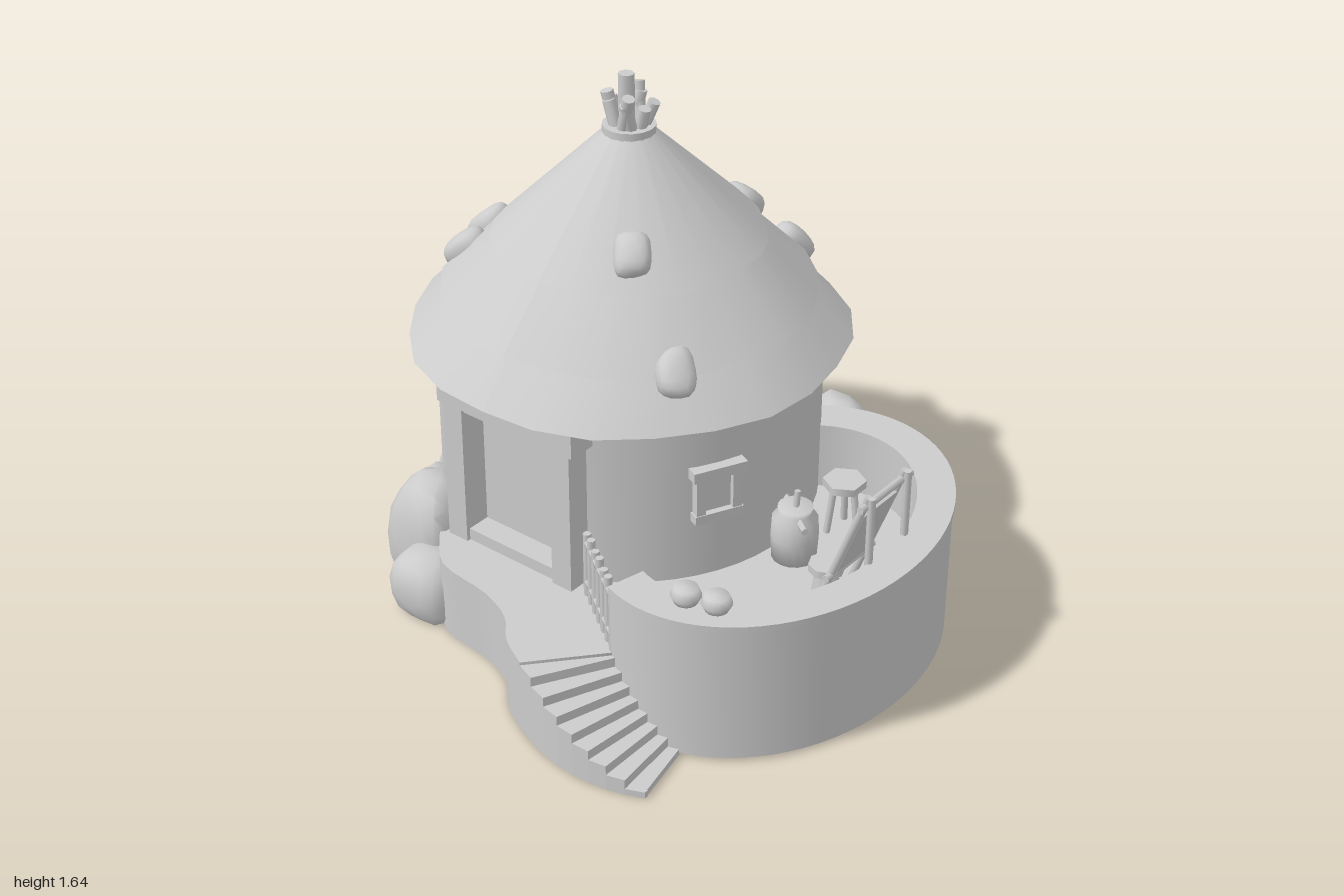
import * as THREE from 'three';
import { mergeVertices, toCreasedNormals } from 'three/addons/utils/BufferGeometryUtils.js';

const CX = -0.18, CZ = -0.095, WALL = 0.605, FLOOR = 0.25;
const V = (x, y, z) => new THREE.Vector3(x, y, z);
const rad = THREE.MathUtils.degToRad;

export function createModel() {
  const model = new THREE.Group();
  const mat = new THREE.MeshStandardMaterial({ color: 0xcccccc, side: THREE.DoubleSide });

  function add(name, geo, x = 0, y = 0, z = 0, parent = model) {
    const mesh = new THREE.Mesh(geo, mat);
    mesh.name = name;
    mesh.position.set(x, y, z);
    parent.add(mesh);
    return mesh;
  }
  const box = (name, w, h, d, x, y, z, parent) =>
    add(name, new THREE.BoxGeometry(w, h, d), x, y, z, parent);

  // Round or square bar between two points
  function bar(name, a, b, r, sides = 8) {
    const mesh = add(name, new THREE.CylinderGeometry(r, r, a.distanceTo(b), sides));
    mesh.position.copy(a).add(b).multiplyScalar(0.5);
    mesh.quaternion.setFromUnitVectors(V(0, 1, 0), b.clone().sub(a).normalize());
  }
  // Upright slab from a plan outline of [x, z] points
  function slab(name, pts, y0, y1) {
    const shape = new THREE.Shape(pts.map(([x, z]) => new THREE.Vector2(x, -z)));
    const geo = new THREE.ExtrudeGeometry(shape, { depth: y1 - y0, bevelEnabled: false });
    geo.rotateX(-Math.PI / 2);
    add(name, toCreasedNormals(geo, 0.5), 0, y0, 0);
  }
  // Irregular rounded stone; with a lift it is cut off at y = 0 and left open below
  function stone(seed, rx, ry, rz, lift = 0) {
    let geo = new THREE.IcosahedronGeometry(1, 2);
    geo.deleteAttribute('uv');
    geo.deleteAttribute('normal');
    geo = mergeVertices(geo);
    const p = geo.attributes.position;
    const bulge = v => Math.sign(v) * Math.abs(v) ** 0.78;
    for (let i = 0; i < p.count; i++) {
      const [x, y, z] = [p.getX(i), p.getY(i), p.getZ(i)];
      const k = 0.97 + 0.08 * Math.sin(2.6 * x + seed * 2.3) * Math.cos(2.7 * z - seed)
        + 0.04 * Math.sin(3 * y + seed * 1.7 + 2 * x);
      const h = bulge(y) * k * ry + lift;
      p.setXYZ(i, bulge(x) * k * rx, lift ? Math.max(h, 0) : h, bulge(z) * k * rz);
    }
    if (lift) {
      const ids = Array.from(geo.index.array), kept = [];
      for (let i = 0; i < ids.length; i += 3) {
        const tri = ids.slice(i, i + 3);
        if (tri.some(v => p.getY(v) > 0)) kept.push(...tri);
      }
      geo.setIndex(kept);
    }
    return toCreasedNormals(geo, 0.8);
  }

  // Round wall, left open behind the door; it reaches the ground only outside the terrace
  const wallArc = (y0, y1, from, to) => add('wall', new THREE.CylinderGeometry(
    WALL, WALL, y1 - y0, 48, 1, true, rad(from), rad(to - from)), CX, (y0 + y1) / 2, CZ);
  wallArc(FLOOR, 0.88, 26, 339);
  wallArc(0, FLOOR, 132, 340);

  // Door recessed in a heavy frame
  const door = new THREE.Group();
  door.name = 'door';
  model.add(door);
  box('doorPanel', 0.46, 0.64, 0.02, -0.155, 0.56, 0.42, door);
  for (const s of [-1, 1]) box('doorPost', 0.075, 0.49, 0.12, -0.155 + s * 0.211, 0.495, 0.463, door);
  box('doorSill', 0.36, 0.04, 0.1, -0.155, 0.27, 0.46, door);
  box('doorHead', 0.36, 0.03, 0.1, -0.155, 0.725, 0.46, door);
  box('doorLintel', 0.53, 0.08, 0.12, -0.155, 0.77, 0.47, door);

  // Framed windows, by angle around the wall
  for (const deg of [26, 221]) {
    const a = rad(deg), win = new THREE.Group();
    win.name = 'window';
    win.position.set(CX + Math.cos(a) * WALL, 0.545, CZ + Math.sin(a) * WALL);
    win.rotation.y = Math.PI / 2 - a;
    model.add(win);
    box('windowPane', 0.1, 0.14, 0.02, 0, 0, -0.003, win);
    for (const s of [-1, 1]) box('windowJamb', 0.03, 0.16, 0.05, s * 0.06, 0, 0, win);
    box('windowSill', 0.16, 0.03, 0.05, 0, -0.075, 0.003, win);
    box('windowLintel', 0.175, 0.035, 0.06, 0, 0.08, 0.003, win);
  }

  // Thatched roof in three overlapping skirts with uneven lower edges
  [[0.691, 0.81, 0.53, 0.98], [0.586, 0.945, 0.38, 1.16], [0.425, 1.13, 0.075, 1.47]]
    .forEach(([r0, y0, r1, y1], t) => {
      const geo = new THREE.CylinderGeometry(r1, r0, y1 - y0, 24, 1, true);
      const p = geo.attributes.position;
      for (let i = 0; i < p.count; i++) if (p.getY(i) < 0) {
        const a = Math.atan2(p.getZ(i), p.getX(i));
        const k = 1 + 0.012 * Math.sin(7 * a + t * 2);
        p.setXYZ(i, p.getX(i) * k, p.getY(i) + 0.006 * Math.sin(5 * a + t) * (t ? 1 : 0), p.getZ(i) * k);
      }
      geo.computeVertexNormals();
      add('roofSkirt', geo, CX, (y0 + y1) / 2, CZ);
    });

  // Bundle of sticks at the peak
  add('roofCollar', new THREE.CylinderGeometry(0.082, 0.082, 0.025, 16), CX, 1.475, CZ);
  bar('peakStick', V(CX - 0.01, 1.47, CZ), V(CX - 0.01, 1.645, CZ), 0.025);
  for (let i = 0; i < 9; i++) {
    const a = i * 0.698, b = a + 0.5 * Math.sin(i * 2.4), out = 0.06 + 0.008 * (i % 3);
    bar('peakStick', V(CX + Math.cos(a) * 0.04, 1.47, CZ + Math.sin(a) * 0.04),
      V(CX + Math.cos(b) * out, 1.55 + 0.012 * (i * 2 % 5), CZ + Math.sin(b) * out), 0.02);
  }

  // Stones resting on the roof
  [[-0.28, -0.6], [0.04, -0.65], [-0.07, -0.53], [-0.71, -0.04], [-0.66, 0.13], [0.04, 0.16], [0.28, 0.26]]
    .forEach(([x, z], i) => {
      const r = Math.hypot(x - CX, z - CZ);
      const y = r < 0.42 ? 1.13 + (0.425 - r) * 0.97 : 0.945 + (0.586 - r) * 1.04;
      const mesh = add('roofStone', stone(i + 1, 0.06, 0.045, 0.078), x, y + 0.008, z);
      mesh.rotation.order = 'YXZ';
      mesh.rotation.set(0.75, Math.atan2(x - CX, z - CZ), 0);
    });

  // Boulders around the foot of the wall: x, z, half width, height, half depth
  [[-0.43, 0.59, 0.13, 0.21, 0.12], [-0.54, 0.46, 0.14, 0.37, 0.13], [-0.6, 0.36, 0.1, 0.33, 0.1],
    [-0.69, 0.11, 0.11, 0.31, 0.12], [-0.88, -0.22, 0.12, 0.2, 0.1], [-0.77, -0.1, 0.11, 0.31, 0.12],
    [-0.79, -0.4, 0.11, 0.3, 0.11], [-0.82, -0.55, 0.12, 0.09, 0.07], [-0.61, -0.49, 0.15, 0.37, 0.14],
    [-0.4, -0.7, 0.12, 0.29, 0.13], [-0.11, -0.76, 0.19, 0.37, 0.16], [0.18, -0.79, 0.11, 0.21, 0.12],
    [0.27, -0.61, 0.15, 0.47, 0.14]].forEach(([x, z, rx, h, rz], i) =>
    add('boulder', stone(i * 1.9 + 0.4, rx, h * 0.6, rz, h * 0.4), x, 0, z));

  // Oval terrace: parapet, coping and floor
  const oval = (rx, rz, from, to, n = 48) => Array.from({ length: n + 1 }, (_, i) => {
    const a = rad(from + (to - from) * i / n);
    return [0.5 + rx * Math.cos(a), 0.06 + rz * Math.sin(a)];
  });
  const ring = o => [...oval(0.485 + o, 0.635 + o, -119, 106), ...oval(0.385 - o, 0.52 - o, 106, -119)];
  slab('terraceParapet', ring(0), 0.01, 0.46);
  slab('terraceCoping', ring(0.006), 0.46, 0.48);
  slab('terraceFloor', oval(0.47, 0.62, 0, 360), FLOOR - 0.02, FLOOR);

  // Porch with a curving front
  const edge = new THREE.CatmullRomCurve3([V(-0.43, 0, 0.54), V(-0.31, 0, 0.655), V(-0.1, 0, 0.69),
    V(0.02, 0, 0.74), V(0.1, 0, 0.82), V(0.2, 0, 0.875)]).getPoints(20).map(p => [p.x, p.z]);
  slab('porchFloor', [[-0.43, 0.35], ...edge, [0.38, 0.67], [0.42, 0.5], [0.2, 0.35]], FLOOR - 0.02, FLOOR);
  slab('porchFront', [...edge, ...edge.map(([x, z]) => [x + 0.01, z - 0.025]).reverse()], 0, FLOOR);

  // Curved stairs descending along the parapet, hollow behind a thin outer skirt
  const STEPS = 8, inner = oval(0.475, 0.63, 107, 75, STEPS);
  const outer = new THREE.QuadraticBezierCurve(new THREE.Vector2(0.2, 0.875),
    new THREE.Vector2(0.45, 0.985), new THREE.Vector2(0.665, 0.88)).getPoints(STEPS).map(p => [p.x, p.y]);
  for (let i = 0; i < STEPS; i++) {
    const top = FLOOR * (1 - i / STEPS) - 0.01, [a, b] = [outer[i], outer[i + 1]];
    slab('step', [inner[i], a, b, inner[i + 1]], Math.max(top - 0.035, 0), top);
    slab('stairSkirt', [a, b, [b[0], b[1] - 0.015], [a[0], a[1] - 0.015]], 0, top);
  }

  // Fence between the house and the parapet
  const f0 = V(0.14, 0, 0.5), f1 = V(0.37, 0, 0.66);
  const at = (t, y) => f0.clone().lerp(f1, t).setY(y);
  for (const y of [0.3, 0.44]) bar('fenceRail', at(0, y), at(1, y), 0.012, 6);
  for (let i = 0; i < 7; i++) bar('fencePost', at(i / 6, FLOOR), at(i / 6, 0.47 + 0.008 * (i % 2)), 0.013, 6);

  // Rack with a leaning board
  for (const z of [-0.07, 0.115]) {
    bar('rackPost', V(0.875, FLOOR, z), V(0.875, 0.7, z), 0.012, 6);
    bar('rackLeg', V(0.7, FLOOR, z), V(0.865, 0.7, z), 0.012, 6);
  }
  bar('rackTopBar', V(0.86, 0.67, -0.11), V(0.86, 0.67, 0.15), 0.012, 6);
  bar('rackLowBar', V(0.75, 0.38, -0.1), V(0.75, 0.38, 0.145), 0.012, 6);
  box('rackBoard', 0.015, 0.26, 0.17, 0.795, 0.5, 0.022).rotation.z = -0.35;

  // Bowls on the coping
  const lathe = (name, pts, x, y, z) =>
    add(name, new THREE.LatheGeometry(pts.map(p => new THREE.Vector2(...p)), 16), x, y, z);
  for (const [x, z] of [[0.58, 0.59], [0.67, 0.565]])
    lathe('bowl', [[0, 0], [0.035, 0], [0.046, 0.022], [0.036, 0.048], [0, 0.05]], x, 0.48, z);

  // Pot with side handles and a ladle
  lathe('pot', [[0, 0], [0.07, 0], [0.075, 0.08], [0.072, 0.14], [0.05, 0.16], [0.055, 0.18], [0, 0.178]],
    0.5, FLOOR, -0.05);
  bar('potHandle', V(0.42, 0.4, -0.11), V(0.58, 0.4, 0.01), 0.012, 6);
  bar('ladle', V(0.5, 0.4, -0.05), V(0.5, 0.48, -0.06), 0.01, 6);

  // Round stool and small table
  add('stoolSeat', new THREE.CylinderGeometry(0.056, 0.056, 0.025, 8), 0.675, 0.33, 0.03);
  add('stoolBase', new THREE.CylinderGeometry(0.035, 0.045, 0.07, 8), 0.675, 0.285, 0.03);
  add('tableTop', new THREE.CylinderGeometry(0.068, 0.068, 0.025, 6), 0.535, 0.42, -0.26);
  for (let i = 0; i < 3; i++) {
    const c = Math.cos(i * 2.094), s = Math.sin(i * 2.094);
    bar('tableLeg', V(0.535 + c * 0.055, FLOOR, -0.26 + s * 0.055), V(0.535 + c * 0.035, 0.41, -0.26 + s * 0.035), 0.011, 6);
  }

  return model;
}
